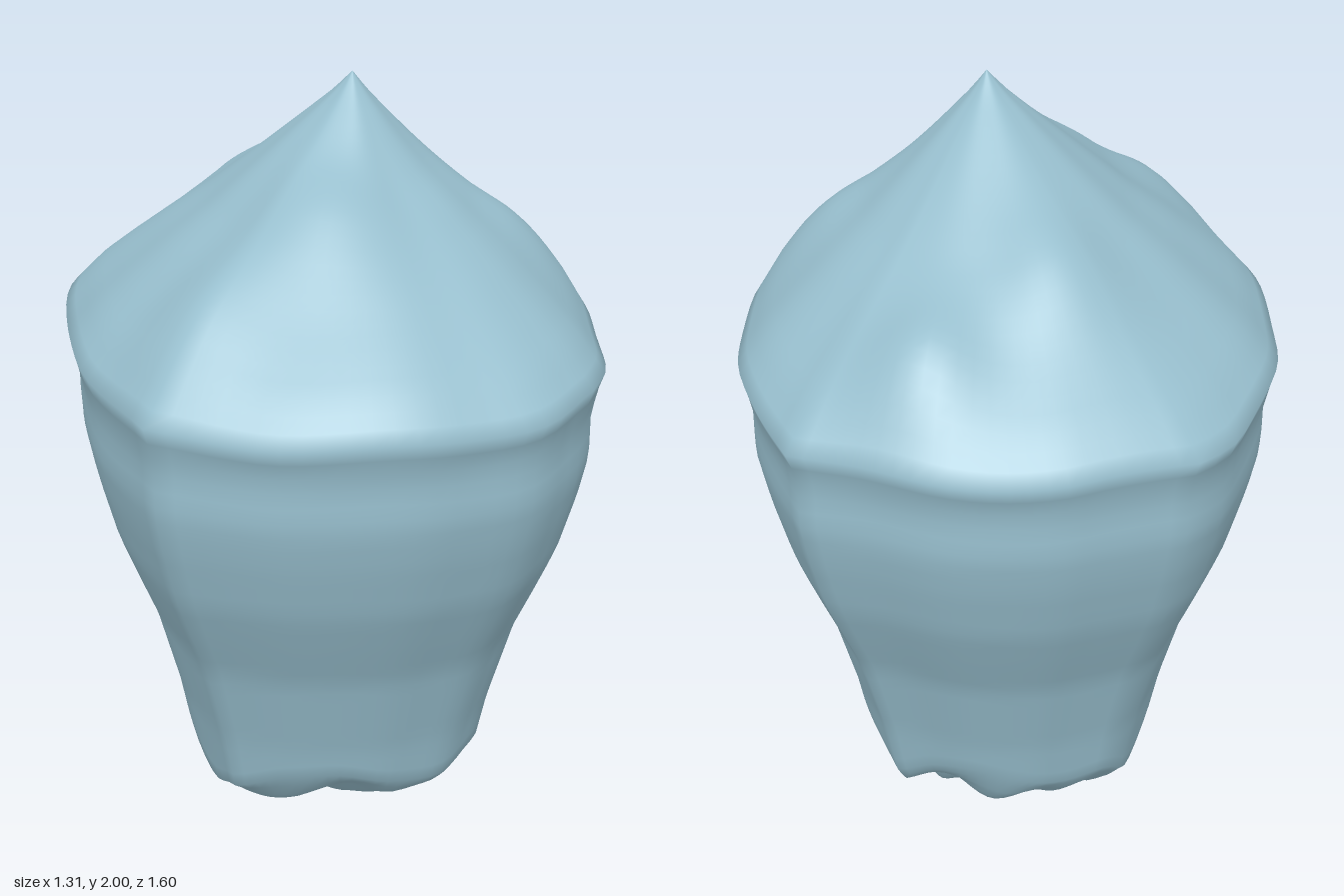
import * as THREE from 'three';

const STEPS = 22; // columns per side

// Outline at the widest level, one smooth run [x, z] per side, with corners where sides meet;
// hem is the height of the wall's lower edge along the side
const sides = [
  // front
  { outline: [[-.52, .63], [-.37, .71], [-.22, .77], [.05, .8], [.2, .775], [.36, .73], [.5, .6]],
    hem: [.24, .3, .32, .28, .26, .29] },
  // left
  { outline: [[.5, .6], [.57, .48], [.62, .25], [.65, .05], [.64, -.27], [.59, -.44], [.48, -.67]],
    hem: [.29, .24, .15, .27, .31, .29, .23] },
  // back
  { outline: [[.48, -.67], [.35, -.715], [.13, -.795], [-.12, -.795], [-.22, -.765], [-.42, -.7]],
    hem: [.23, .29, .31, .27, .24, .26] },
  // right
  { outline: [[-.42, -.7], [-.5, -.62], [-.56, -.5], [-.64, -.28], [-.655, -.05], [-.64, .25], [-.6, .4], [-.52, .63]],
    hem: [.26, .17, .28, .3, .27, .18, .24] },
];

// Wall taper, cap height and underside height as [position, value] tables
const taper = [[0, .55], [.25, .61], [.4, .65], [.65, .742], [.78, .815], [.9, .88], [1.05, .935], [1.16, .965], [1.27, .962], [1.4, 1]];
const capRise = [[0, 1], [.06, .93], [.35, .645], [.5, .5], [.65, .37], [.8, .23], [.9, .13], [1, 0]];
const rootRise = [[0, 0], [.3, .16], [.55, .3], [.78, .5], [.92, .75], [1, 1]];

// Lumps on the cap as [x, z, height, width]
const capBumps = [[.2, -.62, .09, .14], [-.12, -.4, .05, .14], [-.4, .46, .05, .16], [.5, .1, .05, .16], [-.1, .36, .04, .14], [.1, .2, -.03, .14]];

function lookup(table, p) {
  let i = 1;
  while (i < table.length - 1 && table[i][0] < p) i++;
  const [p0, v0] = table[i - 1], [p1, v1] = table[i];
  return v0 + (v1 - v0) * THREE.MathUtils.clamp((p - p0) / (p1 - p0), 0, 1);
}

// Skin a stack of closed rings, each an equally long list of points
function skin(rings) {
  const n = rings[0].length, index = [];
  for (let r = 0; r < rings.length - 1; r++) {
    for (let c = 0; c < n; c++) {
      const a = r * n + c, b = r * n + (c + 1) % n, d = a + n, e = b + n;
      index.push(a, b, e, a, e, d);
    }
  }
  const geometry = new THREE.BufferGeometry();
  geometry.setAttribute('position', new THREE.Float32BufferAttribute(rings.flat(2), 3));
  geometry.setIndex(index);
  geometry.computeVertexNormals();
  return geometry;
}

// Sample a side into columns holding the outline position, rim height and hem height
function sampleSide({ outline, hem }) {
  const path = new THREE.CatmullRomCurve3(outline.map(([x, z]) => new THREE.Vector3(x, 0, z)));
  const hemCurve = new THREE.SplineCurve(hem.map((h, i) => new THREE.Vector2(i, h)));
  return Array.from({ length: STEPS }, (_, i) => {
    const p = path.getPointAt(i / STEPS), angle = Math.atan2(p.z, p.x);
    return {
      x: p.x, z: p.z,
      rim: 1.368 + .018 * Math.cos(angle) ** 2 + .007 * Math.sin(9 * angle),
      hem: hemCurve.getPoint(i / STEPS).y,
    };
  });
}

// Rugged broken underside, from its lowest tip (t = 0) out to the hem (t = 1)
function rootPoint(c, t) {
  const s = lookup(taper, c.hem);
  const x = .07 + (c.x * s - .07) * t, z = -.1 + (c.z * s + .1) * t;
  const lumps = Math.sin(17 * x + 4 * z) * Math.cos(14 * z - 5 * x) + .5 * Math.sin(29 * x - 23 * z);
  const y = c.hem * lookup(rootRise, t) + (.045 * lumps + .03) * Math.sin(Math.PI * t);
  return [x, Math.max(y, .012 * t), z];
}

// Wall tapering down from the rim (t = 1) to the hem (t = 0)
function wallPoint(c, t) {
  const y = c.hem + (c.rim - c.hem) * t;
  const s = t === 1 ? 1 : lookup(taper, y);
  return [c.x * s, y, c.z * s];
}

// Pointed, lumpy cap from the rim (t = 1) to the peak (t = 0), its corners fading upwards
function capPoint(c, t) {
  const round = THREE.MathUtils.lerp(1 / Math.hypot(c.x / .65, c.z / .8), 1, t);
  const x = .05 + (c.x * round - .05) * t, z = .035 + (c.z * round - .035) * t;
  const rise = lookup(capRise, t);
  let y = c.rim + (2 - c.rim) * rise;
  for (const [bx, bz, height, width] of capBumps) {
    const d2 = (x - bx) ** 2 + (z - bz) ** 2;
    y += height * Math.exp(-d2 / width ** 2) * (1 - t ** 6) * Math.min(1, (1 - rise) * 3);
  }
  return [x, y, z];
}

export function createModel() {
  const stone = new THREE.MeshStandardMaterial({ color: 0x98bfce });
  stone.name = 'paleBlueStone';

  // One continuous surface: underside, wall, then cap
  const ring = sides.flatMap(sampleSide);
  const rings = [];
  const addRing = (point, t) => rings.push(ring.map(c => point(c, t)));
  for (let r = 0; r < 22; r++) addRing(rootPoint, r / 22);
  for (let r = 0; r <= 28; r++) addRing(wallPoint, r / 28);
  for (let r = 27; r >= 0; r--) addRing(capPoint, r / 28);

  const body = new THREE.Mesh(skin(rings), stone);
  body.name = 'stoneBody';
  const group = new THREE.Group();
  group.add(body);
  return group;
}
